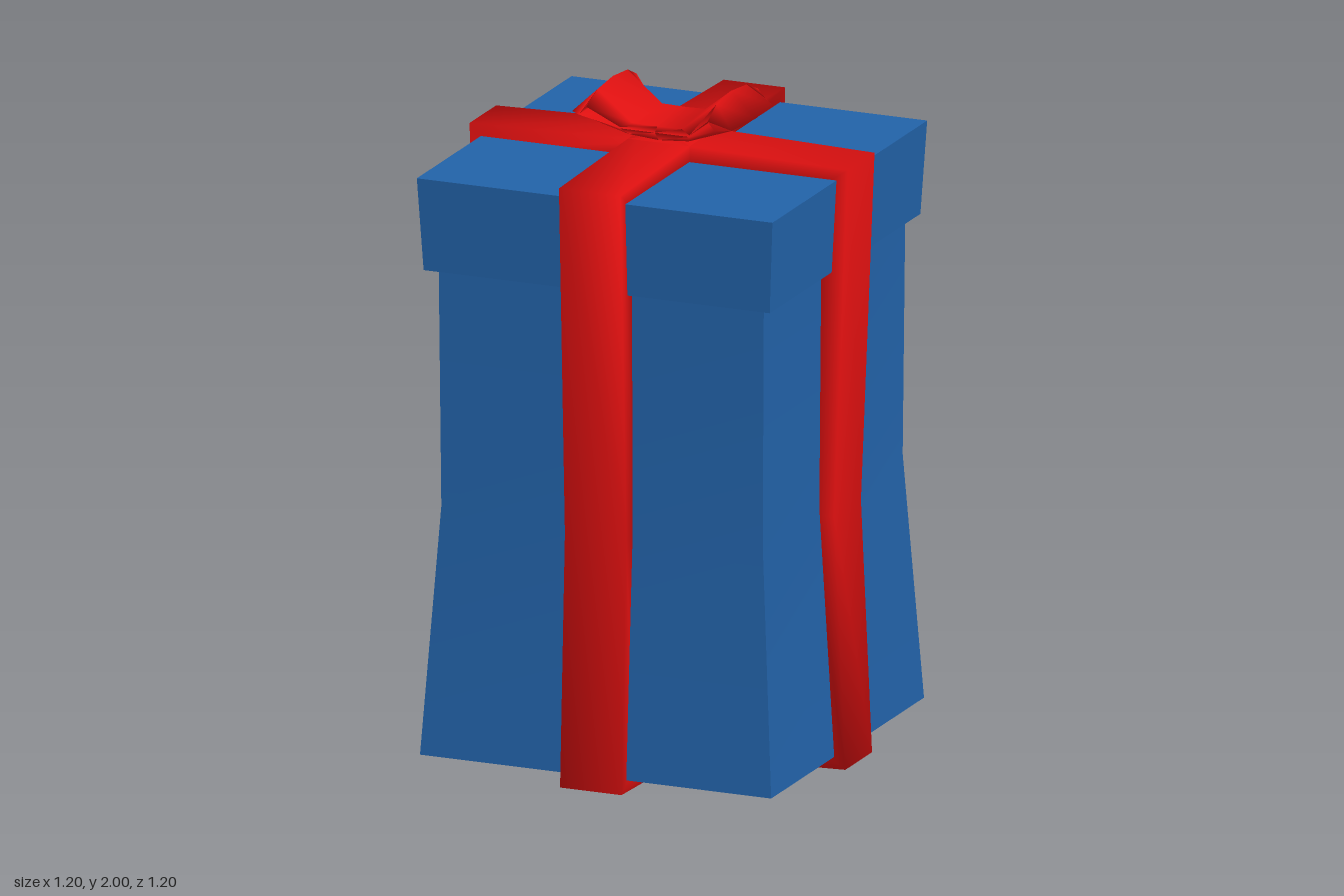
import * as THREE from 'three';

const blue = new THREE.MeshStandardMaterial({ color: 0x2262a8 });
blue.name = 'blue paper';
const red = new THREE.MeshStandardMaterial({ color: 0xdd1010 });
red.name = 'red ribbon';

function part(name, geometry, material) {
  const mesh = new THREE.Mesh(geometry, material);
  mesh.name = name;
  return mesh;
}

// Square block whose half width follows a list of [y, halfWidth] levels
function squareBlock(levels) {
  const n = levels.length - 1;
  const geo = new THREE.BoxGeometry(2, n, 2, 1, n, 1);
  const pos = geo.attributes.position;
  for (let i = 0; i < pos.count; i++) {
    const [y, half] = levels[Math.round(pos.getY(i) + n / 2)];
    pos.setXYZ(i, pos.getX(i) * half, y, pos.getZ(i) * half);
  }
  geo.computeVertexNormals();
  return geo;
}

// Smooth skin through closed rings of points, optionally joined end to end
function skin(rings, closed) {
  const m = rings[0].length, n = rings.length, index = [];
  for (let i = 0; i < (closed ? n : n - 1); i++) {
    for (let j = 0; j < m; j++) {
      const k = (j + 1) % m, a = i * m, b = ((i + 1) % n) * m;
      index.push(a + j, b + j, b + k, a + j, b + k, a + k);
    }
  }
  const geo = new THREE.BufferGeometry();
  geo.setAttribute('position', new THREE.Float32BufferAttribute(rings.flat(2), 3));
  geo.setIndex(index);
  geo.computeVertexNormals();
  return geo;
}

// Band wrapped around the box: [outerX, outerY, innerX, innerY], anticlockwise
function bandGeometry() {
  const side = [
    [0.59, 0.02, 0.5, 0.08],
    [0.555, 0.78, 0.48, 0.78],
    [0.598, 1.835, 0.5, 1.77],
  ];
  const mirrored = side.map(([a, b, c, d]) => [-a, b, -c, d]).reverse();
  const path = [[0, 0, 0, 0.08], ...side, [0, 1.85, 0, 1.77], ...mirrored];
  const w = 0.097;
  return skin(path.map(([ox, oy, ix, iy]) => [
    [ox, oy, -w], [ox, oy, w], [ix, iy, w], [ix, iy, -w],
  ]), true);
}

// Half of the bow: flat inside, bulging outside, from knot base round to knot top
// [outerX, outerY, innerX, innerY, halfWidth, shoulder]
function bowLoopGeometry() {
  const path = [
    [0, 1.845, 0, 1.885, 0.125, 0.78],
    [0.09, 1.855, 0.11, 1.885, 0.125, 0.78],
    [0.265, 1.925, 0.215, 1.93, 0.183, 0.8],
    [0.187, 2.0, 0.192, 1.957, 0.183, 0.6],
    [0.068, 1.904, 0.11, 1.89, 0.127, 0.85],
    [0, 1.904, 0, 1.885, 0.125, 0.85],
  ];
  return skin(path.map(([ox, oy, ix, iy, h, s]) => {
    const t = 0.75, sx = ix + (ox - ix) * t, sy = iy + (oy - iy) * t;
    return [[ix, iy, -h], [sx, sy, -h * s], [ox, oy, 0], [sx, sy, h * s], [ix, iy, h]];
  }), false);
}

export function createModel() {
  const group = new THREE.Group();
  group.name = 'giftBox';

  // Box and overhanging lid
  group.add(part('boxBody', squareBlock([[0.055, 0.555], [0.8, 0.508], [1.56, 0.514]]), blue));
  group.add(part('lid', squareBlock([[1.52, 0.547], [1.8, 0.562]]), blue));

  // Two crossing ribbons
  const band = bandGeometry();
  const bandAcross = part('ribbonAcross', band, red);
  const bandAlong = part('ribbonAlong', band, red);
  bandAlong.rotation.y = Math.PI / 2;
  group.add(bandAcross, bandAlong);

  // Bow with a loop on each side
  const bow = new THREE.Group();
  bow.name = 'bow';
  const loop = bowLoopGeometry();
  const leftLoop = part('leftBowLoop', loop, red);
  const rightLoop = part('rightBowLoop', loop, red);
  rightLoop.rotation.y = Math.PI;
  bow.add(leftLoop, rightLoop);
  group.add(bow);

  return group;
}
